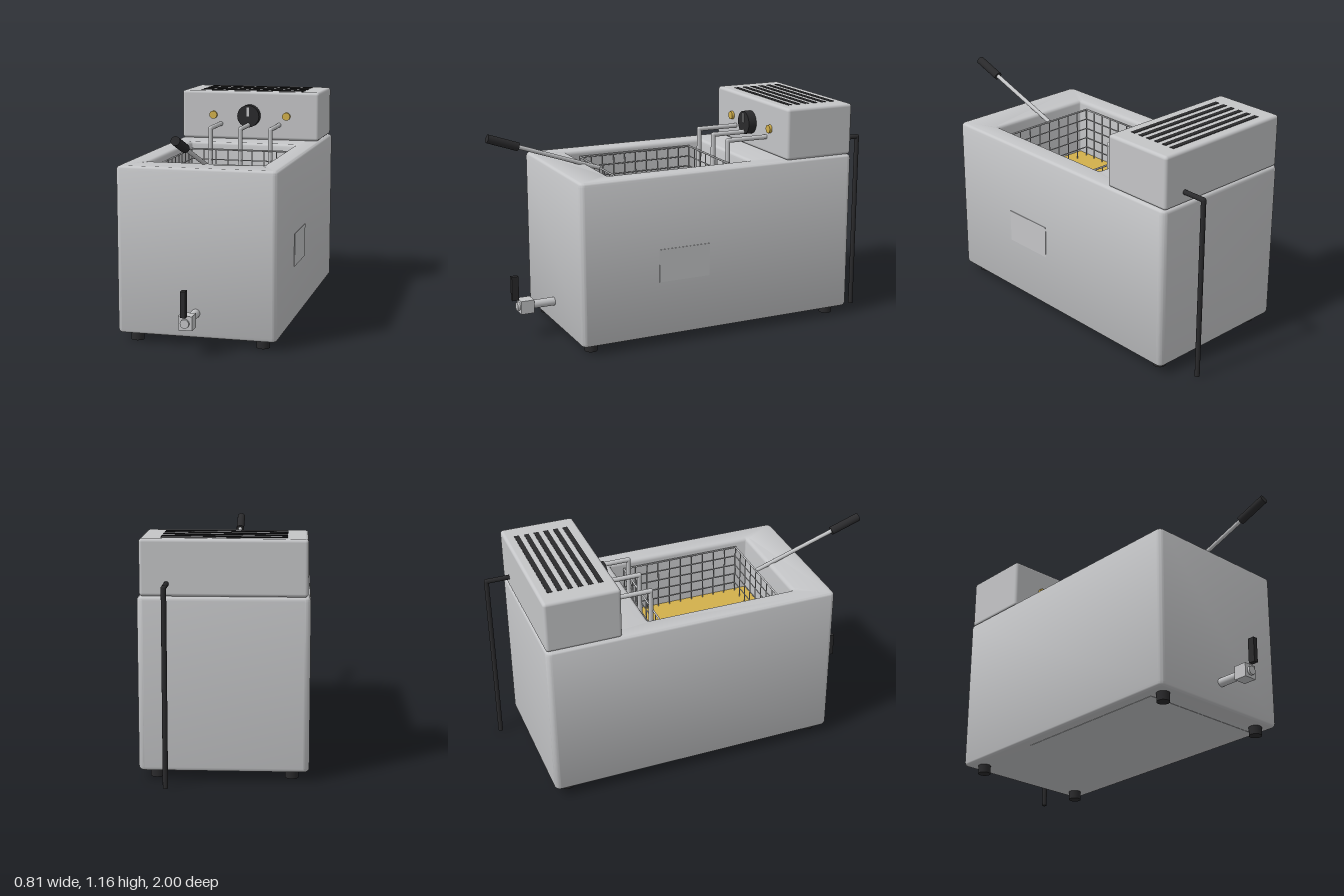
import * as THREE from 'three';
import { toCreasedNormals } from 'three/addons/utils/BufferGeometryUtils.js';
import { RoundedBoxGeometry } from 'three/addons/geometries/RoundedBoxGeometry.js';

const material = (name, color) => {
  const m = new THREE.MeshStandardMaterial({ color });
  m.name = name;
  return m;
};

// Rectangle outline with rounded corners, drawn in x and -z
function roundRect(path, x0, y0, x1, y1, r) {
  path.moveTo(x0 + r, y0);
  path.lineTo(x1 - r, y0);
  path.absarc(x1 - r, y0 + r, r, -Math.PI / 2, 0);
  path.lineTo(x1, y1 - r);
  path.absarc(x1 - r, y1 - r, r, 0, Math.PI / 2);
  path.lineTo(x0 + r, y1);
  path.absarc(x0 + r, y1 - r, r, Math.PI / 2, Math.PI);
  path.lineTo(x0, y0 + r);
  path.absarc(x0 + r, y0 + r, r, Math.PI, Math.PI * 1.5);
  return path;
}

export function createModel() {
  const model = new THREE.Group();
  model.name = 'deepFryer';
  const steel = material('brushed steel', 0xc4c5c7);
  const black = material('black plastic', 0x2a2a2c);
  const amber = material('amber oil', 0xd2b04c);

  const add = (name, geometry, mat, x = 0, y = 0, z = 0, parent = model) => {
    const mesh = new THREE.Mesh(geometry, mat);
    mesh.name = name;
    mesh.position.set(x, y, z);
    parent.add(mesh);
    return mesh;
  };
  const box = (name, mat, w, h, d, x, y, z) => add(name, new THREE.BoxGeometry(w, h, d), mat, x, y, z);

  // Round bar between two points
  const bar = (name, mat, from, to, r, sides = 16, parent = model) => {
    const a = new THREE.Vector3(...from), b = new THREE.Vector3(...to);
    const dir = b.clone().sub(a);
    const mesh = add(name, new THREE.CylinderGeometry(r, r, dir.length(), sides), mat, 0, 0, 0, parent);
    mesh.position.copy(a).add(b).multiplyScalar(0.5);
    mesh.quaternion.setFromUnitVectors(new THREE.Vector3(0, 1, 0), dir.normalize());
    return mesh;
  };

  // Housing with an open well
  const bevel = 0.02;
  const outline = roundRect(new THREE.Shape(), -0.405, -0.665, 0.405, 0.87, 0.03);
  outline.holes.push(roundRect(new THREE.Path(), -0.29, -0.47, 0.29, 0.315, 0.006));
  const housing = new THREE.ExtrudeGeometry(outline, {
    depth: 0.84 - 2 * bevel, bevelEnabled: true, bevelThickness: bevel,
    bevelSize: bevel, bevelOffset: -bevel, bevelSegments: 4, curveSegments: 5,
  });
  housing.rotateX(-Math.PI / 2);
  add('housing', toCreasedNormals(housing, 0.6), steel, 0, 0.045 + bevel, 0);
  box('basePlate', steel, 0.68, 0.01, 0.9, 0, 0.0485, 0.077);
  box('oil', amber, 0.585, 0.08, 0.79, 0, 0.54, 0.0775);
  box('sidePlate', steel, 0.006, 0.17, 0.28, 0.405, 0.42, 0.108);

  // Feet
  for (const x of [-0.322, 0.322])
    for (const z of [0.59, -0.785]) bar('foot', black, [x, 0, z], [x, 0.05, z], 0.033, 20);

  // Control head with vents, knob and lamps
  add('controlHead', new RoundedBoxGeometry(0.785, 0.27, 0.385, 4, 0.016), steel, 0, 1.02, -0.675);
  for (let i = 0; i < 6; i++) box('vent', black, 0.59, 0.006, 0.025, 0, 1.154, -0.805 + i * 0.051);
  bar('knob', black, [0, 1.02, -0.49], [0, 1.02, -0.437], 0.062, 32);
  box('knobPointer', steel, 0.014, 0.05, 0.008, 0, 1.045, -0.435);
  for (const x of [-0.21, 0.21]) bar('lamp', amber, [x, 1.02, -0.49], [x, 1.02, -0.468], 0.022, 24);

  // Bent heating pipes dipping into the oil
  for (const x of [-0.168, 0, 0.168]) {
    bar('pipeArm', steel, [x, 0.97, -0.49], [x, 0.97, -0.255], 0.0125);
    bar('pipeDrop', steel, [x, 0.97, -0.255], [x, 0.56, -0.255], 0.0125);
    add('pipeElbow', new THREE.SphereGeometry(0.0125, 16, 10), steel, x, 0.97, -0.255);
  }

  // Wire basket
  const basket = new THREE.Group();
  basket.name = 'basket';
  model.add(basket);
  const X = 0.272, Z0 = -0.245, Z1 = 0.4, rim = 0.855, low = 0.56;
  const wire = (from, to, r = 0.003) => bar('basketWire', steel, from, to, r, 6, basket);
  for (let i = 0; i <= 5; i++) {
    const y = rim - i * 0.056, r = i ? 0.003 : 0.005;
    for (const x of [-X, X]) wire([x, y, Z0], [x, y, Z1], r);
    for (const z of [Z0, Z1]) wire([-X, y, z], [X, y, z], r);
  }
  for (let i = 0; i <= 8; i++) {
    const x = -X + (2 * X * i) / 8;
    for (const z of [Z0, Z1]) wire([x, low, z], [x, rim, z]);
  }
  for (let i = 1; i < 10; i++) {
    const z = Z0 + ((Z1 - Z0) * i) / 10;
    for (const x of [-X, X]) wire([x, low, z], [x, rim, z]);
  }

  // Basket handle
  bar('handleRod', steel, [0, 0.855, 0.4], [0, 1.01, 0.85], 0.011);
  bar('handleGrip', black, [0, 1.005, 0.835], [0, 1.06, 0.993], 0.022, 20);

  // Drain tap
  bar('drainPipe', steel, [0, 0.17, 0.65], [0, 0.17, 0.868], 0.022, 24);
  box('drainValve', steel, 0.07, 0.07, 0.07, 0, 0.17, 0.82);
  box('drainLever', black, 0.024, 0.128, 0.036, 0, 0.27, 0.876);

  // Bent rod hanging at the back
  bar('rearRodArm', black, [0.265, 0.945, -0.865], [0.265, 0.945, -0.987], 0.0125);
  bar('rearRod', black, [0.265, 0, -0.987], [0.265, 0.945, -0.987], 0.0125);
  add('rearRodElbow', new THREE.SphereGeometry(0.0125, 16, 10), black, 0.265, 0.945, -0.987);

  return model;
}
